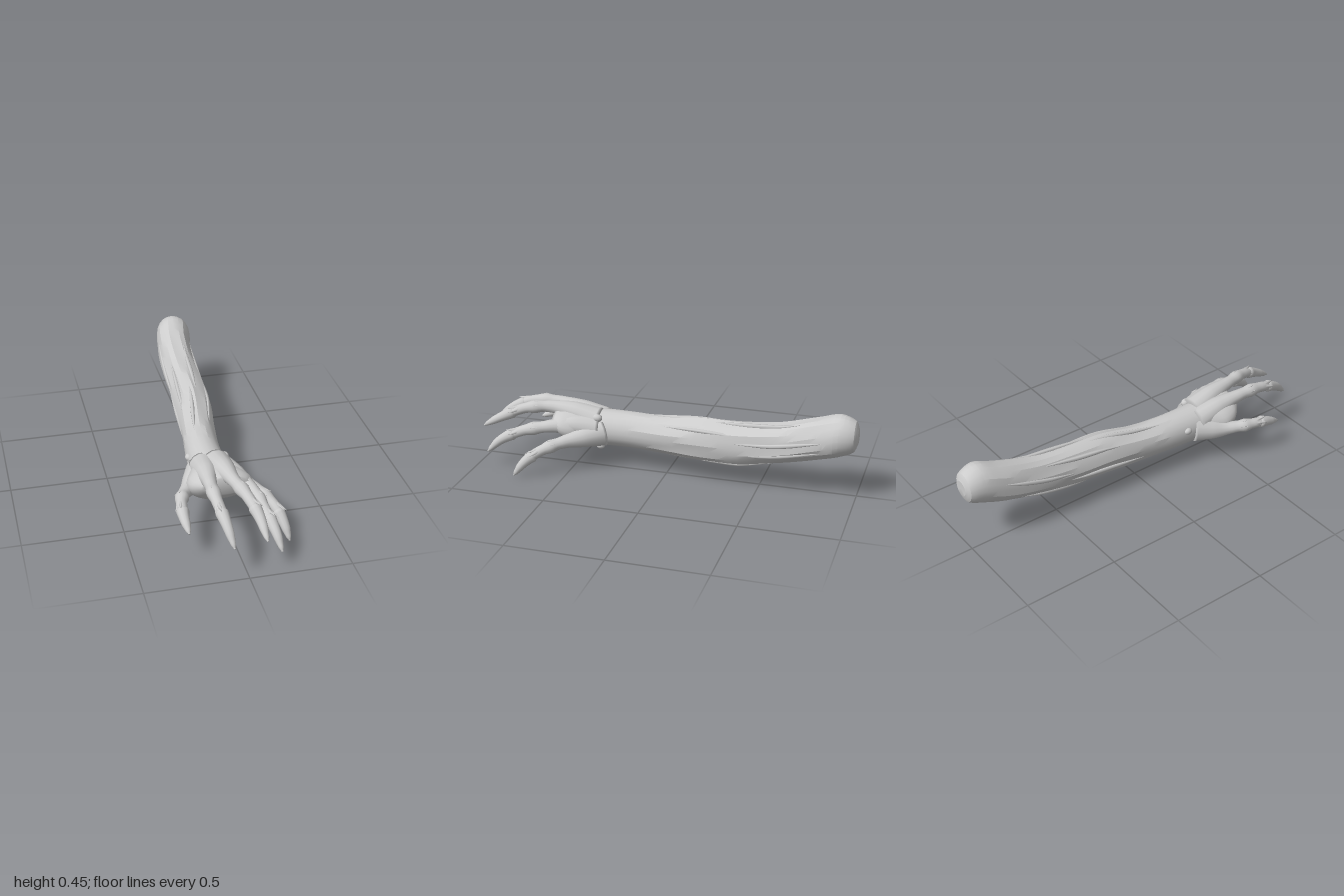
import * as THREE from 'three';
import { toCreasedNormals } from 'three/addons/utils/BufferGeometryUtils.js';

const V = (x, y, z) => new THREE.Vector3(x, y, z);
const material = new THREE.MeshStandardMaterial({ color: 0xcccccc });

// Skin a closed surface over rings of points, with a fan at each end
function skin(rings) {
  const n = rings[0].length, pos = [], idx = [];
  rings.flat().forEach((p) => pos.push(p.x, p.y, p.z));
  for (let i = 0; i < rings.length - 1; i++) {
    for (let j = 0; j < n; j++) {
      const a = i * n + j, b = i * n + (j + 1) % n;
      idx.push(a, b, a + n, b, b + n, a + n);
    }
  }
  [0, rings.length - 1].forEach((r, end) => {
    const c = rings[r].reduce((s, p) => s.add(p), V(0, 0, 0)).divideScalar(n);
    const k = pos.length / 3;
    pos.push(c.x, c.y, c.z);
    for (let j = 0; j < n; j++) {
      const a = r * n + j, b = r * n + (j + 1) % n;
      idx.push(k, end ? a : b, end ? b : a);
    }
  });
  const geo = new THREE.BufferGeometry();
  geo.setAttribute('position', new THREE.Float32BufferAttribute(pos, 3));
  geo.setIndex(idx);
  geo.computeVertexNormals();
  return geo;
}

// Loft ellipses along z through sections [z, left, right, bottom, top]
function loft(sections, steps, sides, bump = () => 1) {
  const centre = new THREE.CatmullRomCurve3(
    sections.map(([z, l, r, b, t]) => V((l + r) / 2, (b + t) / 2, z)), false, 'centripetal');
  const size = new THREE.CatmullRomCurve3(
    sections.map(([z, l, r, b, t]) => V((r - l) / 2, (t - b) / 2, z)), false, 'centripetal');
  const rings = [];
  for (let i = 0; i <= steps; i++) {
    const c = centre.getPoint(i / steps), s = size.getPoint(i / steps), ring = [];
    for (let j = 0; j < sides; j++) {
      const a = j / sides * Math.PI * 2, k = bump(a, c.z);
      ring.push(V(c.x + Math.cos(a) * s.x * k, c.y + Math.sin(a) * s.y * k, c.z));
    }
    rings.push(ring);
  }
  return skin(rings);
}

// Sweep a round section whose radius is radius(t) along a curve
function sweep(curve, radius, steps, sides) {
  const frames = curve.computeFrenetFrames(steps, false), rings = [];
  for (let i = 0; i <= steps; i++) {
    const p = curve.getPointAt(i / steps), r = radius(i / steps), ring = [];
    for (let j = 0; j < sides; j++) {
      const a = j / sides * Math.PI * 2;
      ring.push(p.clone().addScaledVector(frames.normals[i], Math.cos(a) * r)
        .addScaledVector(frames.binormals[i], Math.sin(a) * r));
    }
    rings.push(ring);
  }
  return skin(rings);
}

// Straight-line lookup in a list of [t, value]
function ramp(keys, t) {
  const k = Math.max(1, keys.findIndex(([u]) => u >= t));
  const [a, va] = keys[k - 1], [b, vb] = keys[k];
  return THREE.MathUtils.lerp(va, vb, (t - a) / (b - a));
}

const armSections = [
  [-1, 0.01, 0.09, 0.31, 0.39], [-0.985, -0.02, 0.12, 0.27, 0.425],
  [-0.91, -0.045, 0.145, 0.235, 0.453], [-0.8, -0.06, 0.128, 0.2, 0.42],
  [-0.6, -0.065, 0.12, 0.15, 0.365], [-0.4, -0.07, 0.12, 0.115, 0.347],
  [-0.2, -0.08, 0.11, 0.11, 0.34], [0, -0.1, 0.077, 0.114, 0.313],
  [0.2, -0.125, 0.055, 0.116, 0.308], [0.38, -0.135, 0.058, 0.112, 0.308],
];

const palmSections = [
  [0.26, -0.125, 0.05, 0.12, 0.3], [0.37, -0.138, 0.058, 0.111, 0.308],
  [0.43, -0.165, 0.085, 0.11, 0.312], [0.49, -0.185, 0.12, 0.122, 0.316],
  [0.55, -0.17, 0.13, 0.16, 0.315], [0.6, -0.12, 0.1, 0.215, 0.305],
];

// Finger paths from the wrist to the claw tip, and the side their spurs lean to
const fingers = [
  { name: 'thumb', side: -1, path: [[-0.08, 0.2, 0.34], [-0.155, 0.19, 0.45], [-0.222, 0.2, 0.56], [-0.243, 0.19, 0.67], [-0.238, 0.145, 0.79]] },
  { name: 'indexFinger', side: -1, path: [[-0.07, 0.23, 0.36], [-0.085, 0.275, 0.5], [-0.1, 0.3, 0.64], [-0.1, 0.29, 0.78], [-0.085, 0.24, 0.9], [-0.07, 0.168, 0.985]] },
  { name: 'middleFinger', side: 1, path: [[-0.01, 0.25, 0.38], [0, 0.295, 0.52], [0.012, 0.312, 0.64], [0.045, 0.3, 0.77], [0.073, 0.255, 0.88], [0.083, 0.192, 0.995]] },
  { name: 'ringFinger', side: 1, path: [[0.015, 0.22, 0.38], [0.06, 0.24, 0.5], [0.11, 0.235, 0.63], [0.135, 0.205, 0.76], [0.158, 0.15, 0.87], [0.172, 0.083, 0.94]] },
  { name: 'littleFinger', side: 1, path: [[0.01, 0.2, 0.35], [0.09, 0.185, 0.45], [0.17, 0.168, 0.55], [0.223, 0.13, 0.64], [0.25, 0.07, 0.71], [0.265, 0.006, 0.757]] },
];

export function createModel() {
  const group = new THREE.Group();
  const add = (name, geo, parent = group) => {
    const mesh = new THREE.Mesh(geo, material);
    mesh.name = name;
    parent.add(mesh);
    return mesh;
  };

  // Forearm: faceted, with twisting grooves that fade out at the elbow and wrist
  const grooves = (a, z) => {
    const fade = THREE.MathUtils.smoothstep(z, -0.95, -0.7) * (1 - THREE.MathUtils.smoothstep(z, -0.1, 0.25));
    return 1 + fade * (0.03 * Math.sin(a * 5 + z * 4) + 0.025 * Math.sin(a * 8 - z * 7) - 0.02);
  };
  add('forearm', toCreasedNormals(loft(armSections, 36, 20, grooves), 0.35));

  // Palm
  add('palm', loft(palmSections, 20, 28));

  // Thin sinew strands lying along the forearm
  const armAt = (z, a) => {
    const e = [1, 2, 3, 4].map((k) => ramp(armSections.map((s) => [s[0], s[k]]), z));
    return V((e[0] + e[1]) / 2 + Math.cos(a) * (e[1] - e[0]) / 2 * 0.96,
      (e[2] + e[3]) / 2 + Math.sin(a) * (e[3] - e[2]) / 2 * 0.96, z);
  };
  for (let i = 0; i < 11; i++) {
    const a = i / 11 * Math.PI * 2, z0 = -0.84 + 0.13 * (i * 3 % 5), pts = [];
    for (let k = 0; k <= 5; k++) pts.push(armAt(z0 + k * 0.09, a + 0.05 * k));
    add('sinew', sweep(new THREE.CatmullRomCurve3(pts), (t) => 0.001 + 0.011 * Math.sin(Math.PI * t), 10, 6));
  }

  // Fingers: tapered segments, claw tips with a cuff, and knuckle spurs
  const shape = [[0, 0.075], [0.2, 0.056], [0.36, 0.036], [0.46, 0.03], [0.53, 0.036], [0.6, 0.028], [0.74, 0.026], [0.8, 0.018], [1, 0.005]];
  const clawShape = [[0.7, 0.024], [0.73, 0.032], [0.8, 0.027], [0.9, 0.021], [0.97, 0.012], [1, 0.003]];
  for (const { name, side, path } of fingers) {
    const finger = new THREE.Group();
    finger.name = name;
    group.add(finger);
    const curve = new THREE.CatmullRomCurve3(path.map((p) => V(...p)));
    add('flesh', sweep(curve, (t) => ramp(shape, t), 40, 14), finger);

    const clawPath = new THREE.CatmullRomCurve3([0.7, 0.78, 0.86, 0.94, 1].map((t) => curve.getPointAt(t)));
    add('claw', sweep(clawPath, (t) => ramp(clawShape, 0.7 + 0.3 * t), 20, 12), finger);

    for (const t of [0.5, 0.71]) {
      for (const lean of [0.25, 1]) {
        const tan = curve.getTangentAt(t);
        const out = V(side * lean, 1 - 0.6 * lean, 0).projectOnPlane(tan).normalize();
        const spur = add('spur', new THREE.ConeGeometry(0.013, 0.06, 7), finger);
        spur.position.copy(curve.getPointAt(t)).addScaledVector(out, 0.027);
        spur.quaternion.setFromUnitVectors(V(0, 1, 0), tan.multiplyScalar(0.9).addScaledVector(out, 0.4).normalize());
      }
    }
  }

  // Bony bumps around the wrist
  for (const [x, y, z, r] of [[0.035, 0.285, 0.37, 0.022], [-0.122, 0.235, 0.26, 0.018], [0.015, 0.122, 0.36, 0.018]]) {
    const bump = add('wristBump', new THREE.SphereGeometry(r, 12, 8));
    bump.position.set(x, y, z);
    bump.scale.z = 1.3;
  }
  return group;
}
